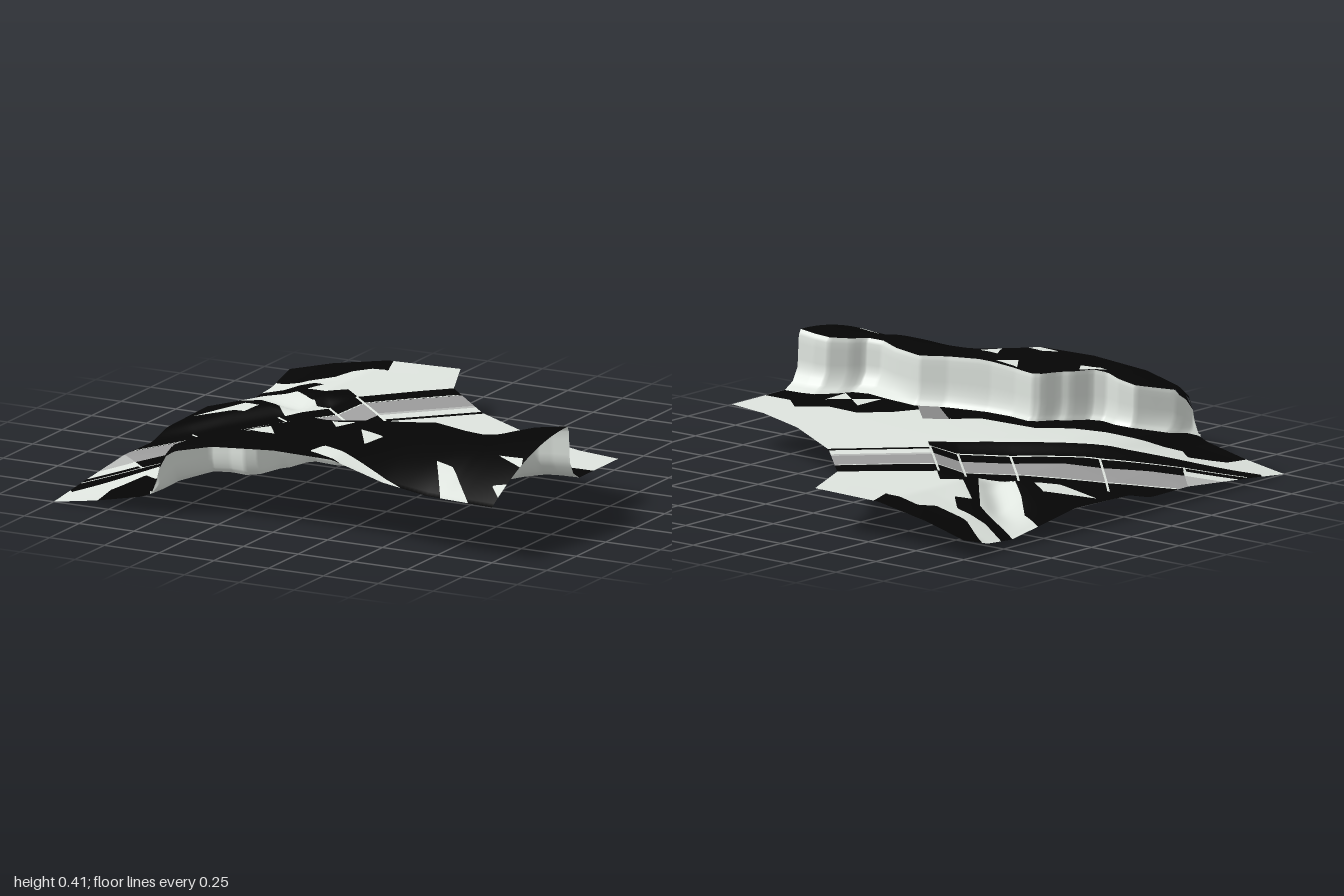
import * as THREE from 'three';

// ---- helpers -------------------------------------------------------------
// linear interpolation through [position, value] points
const lerpTable = (pts) => (v) => {
  if (v <= pts[0][0]) return pts[0][1];
  for (let i = 1; i < pts.length; i++) {
    const [a, p] = pts[i - 1], [b, q] = pts[i];
    if (v <= b) return p + (q - p) * (v - a) / (b - a);
  }
  return pts[pts.length - 1][1];
};
const { lerp, clamp, smoothstep } = THREE.MathUtils;
const mix = (a, b, k) => [lerp(a[0], b[0], k), lerp(a[1], b[1], k)];
const centre = (tri) => [0, 1].map((k) => (tri[0][k] + tri[1][k] + tri[2][k]) / 3);
const inside = (poly) => (x, z) => {
  let hit = false;
  for (let i = 0, j = poly.length - 1; i < poly.length; j = i++) {
    const [ax, az] = poly[i], [bx, bz] = poly[j];
    if ((az > z) !== (bz > z) && x < (bx - ax) * (z - az) / (bz - az) + ax) hit = !hit;
  }
  return hit;
};
// the road runs diagonally: s = x + z goes across it, t = x - z along it
const strip = (s0, s1, t0 = -9, t1 = 9) => (x, z) => x + z > s0 && x + z < s1 && x - z > t0 && x - z < t1;
const material = (color) => new THREE.MeshStandardMaterial({ color, side: THREE.DoubleSide });
const LIGHT = 0xdfe5df, DARK = 0x050505, ROAD = 0x9c9c9c, PALE = 0xb8bab8;

// ---- outlines and heights --------------------------------------------------
const backEdge = lerpTable([[-0.22, -1], [-0.1, -0.72], [0.18, -0.44], [0.53, -0.22], [0.8, -0.11], [1, -0.07]]);
const cliffBase = lerpTable([[-0.55, 1], [-0.52, 0.96], [-0.5, 0.87], [-0.44, 0.8], [-0.4, 0.755], [-0.32, 0.745],
  [-0.25, 0.76], [-0.2, 0.73], [-0.16, 0.64], [-0.13, 0.61], [-0.1, 0.53], [-0.07, 0.505], [0.03, 0.52], [0.15, 0.51],
  [0.33, 0.45], [0.43, 0.39], [0.6, 0.41], [0.7, 0.43], [0.77, 0.41], [0.8, 0.35], [0.86, 0.28], [0.92, 0.265], [1, 0.26]]);
const cliffWidth = lerpTable([[-0.55, 0], [-0.52, 0.04], [-0.5, 0.07], [-0.4, 0.03], [0.15, 0.03], [0.45, 0.04],
  [0.7, 0.09], [1, 0.1]]);
const cliffRim = (x) => Math.min(1, cliffBase(x) + cliffWidth(x));

const westHeight = lerpTable([[-1, 0.08], [-0.85, 0.04], [-0.7, 0.03], [-0.5, 0.06], [-0.3, 0.09], [0.2, 0.08],
  [0.4, 0.07], [0.8, 0.02], [1, 0]]);
const backRise = lerpTable([[-1, 0], [-0.8, 0.5], [-0.55, 0.93], [-0.2, 1]]);
const frontRise = lerpTable([[-1, 0], [-0.8, 0.17], [-0.6, 0.4], [-0.5, 0.62], [-0.4, 0.74], [0, 0.83], [0.5, 0.97], [1, 1]]);
const ditchLine = lerpTable([[-1, -0.62], [-0.8, -0.52], [-0.65, -0.38], [-0.5, -0.25]]);
// the road bed sinks below the land beside it
const roadDip = lerpTable([[-1.8, 0], [-1.41, 0.015], [-0.93, 0.045], [-0.42, 0.05], [-0.12, 0.04], [0.04, 0]]);
const groundY = (x, z) => {
  const s = x + z;
  const rise = lerp(backRise(x), frontRise(x), smoothstep(z, 0, 1));
  const off = (z - ditchLine(x)) / 0.1;
  const ditch = 0.05 * Math.exp(-off * off) * smoothstep(x, -1, -0.75) * (1 - smoothstep(x, -0.62, -0.46));
  const bed = roadDip(x - z) * smoothstep(s, -0.98, -0.8) * (1 - smoothstep(s, -0.24, -0.06));
  return lerp(westHeight(z), 0.18, rise) - Math.max(ditch, bed);
};
const rimY = lerpTable([[-0.55, 0.1], [-0.53, 0.15], [-0.51, 0.24], [-0.49, 0.285], [-0.4, 0.315], [-0.2, 0.355],
  [0, 0.36], [0.2, 0.38], [0.6, 0.375], [0.8, 0.39], [1, 0.415]]);
const frontY = lerpTable([[-0.55, 0.1], [-0.53, 0.15], [-0.51, 0.24], [-0.45, 0.28], [-0.28, 0.32], [0, 0.34],
  [0.27, 0.335], [0.5, 0.27], [0.7, 0.24], [1, 0.23]]);
const plateauY = (x, z) => {
  const rim = cliffRim(x), k = clamp((z - rim) / Math.max(1 - rim, 0.02), 0, 1);
  return lerp(rimY(x), frontY(x), k * k);
};

// ---- surface regions, first match wins ---------------------------------------
const lightBits = [
  [[-0.97, -0.13], [-0.82, -0.29], [-0.73, -0.24], [-0.76, -0.17]],
  [[0.6, 0.24], [0.69, 0.31], [0.6, 0.39]], [[0.69, 0.31], [0.77, 0.24], [0.78, 0.38]],
].map(inside);
const scrub = [
  [[-1.01, -1.01], [-0.53, -1.01], [-0.48, -0.87], [-0.64, -0.86], [-0.68, -0.79], [-0.83, -0.78], [-1.01, -0.89]],
  [[-1.01, -0.77], [-0.87, -0.71], [-0.73, -0.72], [-0.65, -0.64], [-0.7, -0.59], [-0.55, -0.47], [-0.48, -0.53],
    [-0.38, -0.43], [-0.45, -0.36], [-0.52, -0.34], [-0.75, -0.6], [-1.01, -0.7]],
  [[-1.01, -0.54], [-0.9, -0.5], [-0.78, -0.38], [-0.6, -0.22], [-1.01, 0.19]],
  [[-0.8, 1.01], [-0.81, 0.87], [-0.73, 0.72], [-0.66, 0.77], [-0.5, 0.64], [-0.28, 0.54], [-0.18, 0.42], [0.08, 0.4],
    [0.17, 0.3], [0.36, 0.37], [0.42, 0.24], [0.52, 0.14], [0.68, 0.15], [0.78, 0.06], [0.87, 0.14], [1.01, 0.14], [1.01, 1.01]],
].map(inside);
const groundRegions = [
  ['roadEndTile', PALE, strip(-0.66, -0.38, -9, -1.4)],
  ['roadEdge', PALE, strip(-0.42, -0.38, 0.04)],
  ['road', ROAD, strip(-0.66, -0.38)],
  ['leftShoulder', DARK, strip(-0.82, -0.66)],
  ['groundPatch', LIGHT, strip(-0.38, -0.28, -9, -1.4)],
  ['rightShoulder', DARK, strip(-0.38, -0.1, -1.86, 0.04)],
  ['kerb', DARK, strip(-0.28, -0.24)],
  ['slopePatch', 0x888888, inside([[0.17, 0.3], [0.25, 0.23], [0.43, 0.41], [0.35, 0.45]])],
  ['groundPatch', LIGHT, (x, z) => lightBits.some((f) => f(x, z))],
  ['scrub', DARK, (x, z) => scrub.some((f) => f(x, z))],
  ['ground', LIGHT, () => true],
];
const plateauBits = [
  [[0.04, 0.57], [0.15, 0.57], [0.1, 0.65]], [[0.22, 0.66], [0.34, 0.69], [0.31, 0.8]],
  [[-0.23, 0.81], [-0.16, 0.72], [-0.1, 0.8]], [[0.17, 0.88], [0.62, 1.01], [0.34, 1.01], [0.14, 0.95]],
  [[0.64, 0.8], [0.73, 0.83], [0.9, 1.01], [0.77, 1.01]], [[0.86, 0.69], [0.98, 0.7], [1.01, 0.77]],
  [[0.94, 0.89], [1.01, 0.87], [1.01, 0.96]],
].map(inside);
const plateauRegions = [
  ['plateauPatch', LIGHT, (x, z) => plateauBits.some((f) => f(x, z))],
  ['plateau', DARK, () => true],
];

// ---- builders -----------------------------------------------------------------
// grid clipped to lo(x) <= z <= hi(x), cut by both diagonals and along the region borders
function surface(group, xMin, lo, hi, height, regions) {
  const step = 0.02, cols = Math.round((1 - xMin) / step), buckets = new Map();
  const at = (x, z) => [x, clamp(z, lo(x), hi(x))];
  const regionAt = ([x, z]) => regions.find((r) => r[2](x, z));
  const emit = (tri) => {
    const [[ax, az], [bx, bz], [cx, cz]] = tri;
    if (Math.abs((bx - ax) * (cz - az) - (cx - ax) * (bz - az)) < 1e-8) return;
    const [name, color] = regionAt(centre(tri));
    if (!buckets.has(name)) buckets.set(name, { color, pos: [], nor: [] });
    const { pos, nor } = buckets.get(name), e = 0.02;
    for (const [x, z] of tri) {
      const n = new THREE.Vector3(height(x - e, z) - height(x + e, z), 2 * e, height(x, z - e) - height(x, z + e)).normalize();
      pos.push(x, height(x, z), z);
      nor.push(n.x, n.y, n.z);
    }
  };
  const add = (tri) => {
    const mid = centre(tri), pulled = tri.map((p) => mix(p, mid, 0.03)), kinds = pulled.map(regionAt);
    const odd = [0, 1, 2].find((k) => kinds[k] !== kinds[(k + 1) % 3] && kinds[k] !== kinds[(k + 2) % 3]);
    if (odd === undefined) return emit(tri);
    const b = (odd + 1) % 3, c = (odd + 2) % 3;
    const cross = (to) => {
      let near = 0, far = 1;
      for (let i = 0; i < 8; i++) {
        const k = (near + far) / 2;
        if (regionAt(mix(pulled[odd], pulled[to], k)) === kinds[odd]) near = k; else far = k;
      }
      return mix(tri[odd], tri[to], near);
    };
    const p = cross(b), q = cross(c);
    [[tri[odd], p, q], [p, tri[b], tri[c]], [p, tri[c], q]].forEach(emit);
  };
  for (let i = 0; i < cols; i++) for (let j = 0; j < 100; j++) {
    const x = xMin + i * step, z = -1 + j * step;
    const ring = [at(x, z), at(x, z + step), at(x + step, z + step), at(x + step, z)];
    const mid = at(x + step / 2, z + step / 2);
    ring.forEach((p, k) => add([p, ring[(k + 1) % 4], mid]));
  }
  for (const [name, { color, pos, nor }] of buckets) {
    const geo = new THREE.BufferGeometry();
    geo.setAttribute('position', new THREE.Float32BufferAttribute(pos, 3));
    geo.setAttribute('normal', new THREE.Float32BufferAttribute(nor, 3));
    addMesh(group, name, geo, color);
  }
}
// plane whose vertices are placed by fn(u, v)
function sheet(nu, nv, fn) {
  const geo = new THREE.PlaneGeometry(1, 1, nu, nv), p = geo.attributes.position;
  for (let i = 0; i < p.count; i++) p.setXYZ(i, ...fn(p.getX(i) + 0.5, p.getY(i) + 0.5));
  geo.computeVertexNormals();
  return geo;
}
function addMesh(group, name, geo, color) {
  const mesh = new THREE.Mesh(geo, material(color));
  mesh.name = name;
  group.add(mesh);
}

export function createModel() {
  const model = new THREE.Group();
  model.name = 'terrainTile';
  surface(model, -1, backEdge, cliffBase, groundY, groundRegions);
  surface(model, -0.56, cliffRim, () => 1, plateauY, plateauRegions);

  // cliff wall: sloping foot, then a steep face up to the rim
  const wallOut = lerpTable([[0, 0], [0.2, 0.5], [0.4, 0.8], [0.8, 0.88], [1, 1]]);
  const wallUp = lerpTable([[0, 0], [0.2, 0.12], [0.4, 0.35], [0.8, 0.9], [1, 1]]);
  addMesh(model, 'cliffWall', sheet(156, 10, (u, v) => {
    const x = lerp(1, -0.56, u), base = cliffBase(x);
    return [x, lerp(groundY(x, base), rimY(x), wallUp(v)), lerp(base, cliffRim(x), wallOut(v))];
  }), LIGHT);

  // pale seams across the road and along its edges
  const seam = (s0, t0, s1, t1) => addMesh(model, 'roadSeam', sheet(60, 1, (u, v) => {
    const along = s0 === s1, w = (v - 0.5) * 0.014;
    const s = lerp(s0, s1, u) + (along ? w : 0), t = lerp(t0, t1, u) + (along ? 0 : -w);
    const x = (s + t) / 2, z = (s - t) / 2;
    return [x, groundY(x, z) + 0.002, z];
  }), LIGHT);
  for (const t of [0.04, -0.12, -0.42, -0.93]) seam(-0.82, t, -0.22, t);
  seam(-0.38, -1.41, -0.21, -1.41);
  seam(-0.66, -1.33, -0.66, 0.6);
  seam(-0.22, -1.77, -0.22, 0.04);
  return model;
}
